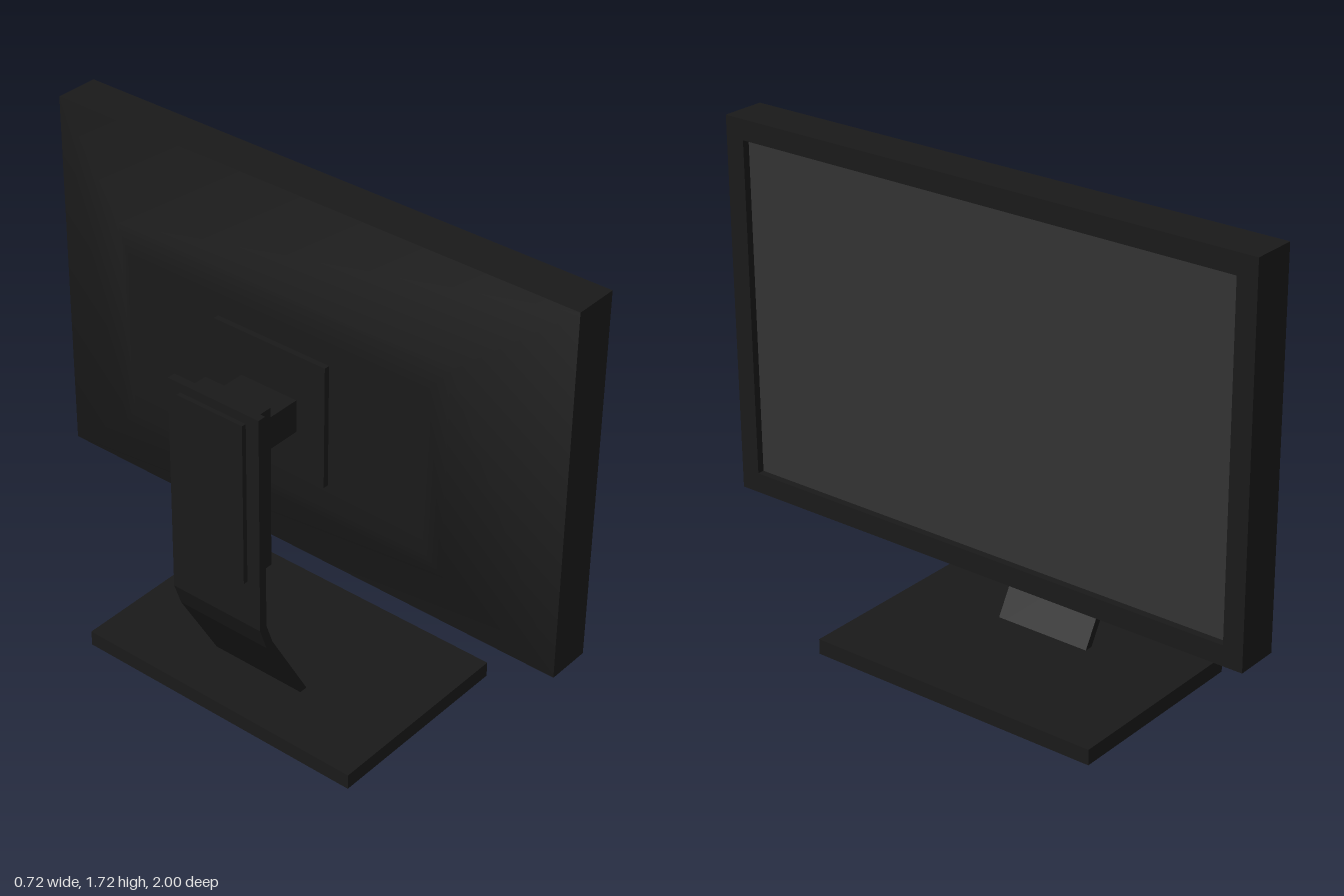
import * as THREE from 'three';

const dark = new THREE.MeshStandardMaterial({ color: 0x1a1a1a });
const screenGrey = new THREE.MeshStandardMaterial({ color: 0x333333 });

function add(parent, name, geometry, material = dark) {
  const mesh = new THREE.Mesh(geometry, material);
  mesh.name = name;
  parent.add(mesh);
  return mesh;
}

// Box given by its x and y limits and its half depth in z
function block(parent, name, x0, x1, y0, y1, halfZ) {
  const mesh = add(parent, name, new THREE.BoxGeometry(x1 - x0, y1 - y0, halfZ * 2));
  mesh.position.set((x0 + x1) / 2, (y0 + y1) / 2, 0);
  return mesh;
}

const rectangle = (Type, w, h) =>
  new Type([[-w, -h], [w, -h], [w, h], [-w, h]].map(([x, y]) => new THREE.Vector2(x, y)));

// Tapered rear shell: rectangular rings [half width, half height, z], closed at the back
function shellGeometry(rings) {
  const positions = [];
  const index = [];
  for (const [w, h, z] of rings) positions.push(-w, -h, z, w, -h, z, w, h, z, -w, h, z);
  for (let r = 0; r < rings.length - 1; r++) {
    for (let i = 0; i < 4; i++) {
      const a = r * 4 + i, b = r * 4 + (i + 1) % 4;
      index.push(a, a + 4, b, b, a + 4, b + 4);
    }
  }
  const c = (rings.length - 1) * 4;
  index.push(c, c + 2, c + 1, c, c + 3, c + 2);
  const geometry = new THREE.BufferGeometry();
  geometry.setAttribute('position', new THREE.Float32BufferAttribute(positions, 3));
  geometry.setIndex(index);
  geometry.computeVertexNormals();
  return geometry;
}

export function createModel() {
  const model = new THREE.Group();
  model.name = 'monitor';

  // Display, built facing +z and then turned to face +x
  const display = new THREE.Group();
  display.name = 'display';
  display.position.y = 1.07;
  display.rotation.y = Math.PI / 2;
  model.add(display);

  const frame = rectangle(THREE.Shape, 1, 0.65);
  frame.holes.push(rectangle(THREE.Path, 0.93, 0.58));
  add(display, 'bezel', new THREE.ExtrudeGeometry(frame, { depth: 0.155, bevelEnabled: false }))
    .position.z = 0.065;
  add(display, 'screen', new THREE.PlaneGeometry(1.86, 1.16), screenGrey).position.z = 0.195;
  add(display, 'rearShell', shellGeometry([
    [1, 0.65, 0.065], [0.65, 0.37, -0.05], [0.59, 0.29, -0.07],
  ]));

  // Mount between the display and the stand
  block(model, 'mountPlate', -0.09, -0.065, 0.85, 1.285, 0.22);
  block(model, 'mountArm', -0.24, -0.085, 1.01, 1.125, 0.11);
  block(model, 'heightCarriage', -0.362, -0.232, 0.595, 1.18, 0.13);

  // Flat upright that bends forward down to the base
  const upright = new THREE.Shape([
    [-0.345, 1.212], [-0.345, 0.425], [-0.315, 0.34], [-0.135, 0.03],
    [-0.105, 0.03], [-0.287, 0.35], [-0.315, 0.43], [-0.315, 1.212],
  ].map(([x, y]) => new THREE.Vector2(x, y)));
  add(model, 'upright', new THREE.ExtrudeGeometry(upright, { depth: 0.36, bevelEnabled: false }))
    .position.z = -0.18;

  block(model, 'base', -0.36, 0.36, 0, 0.055, 0.55);
  return model;
}
